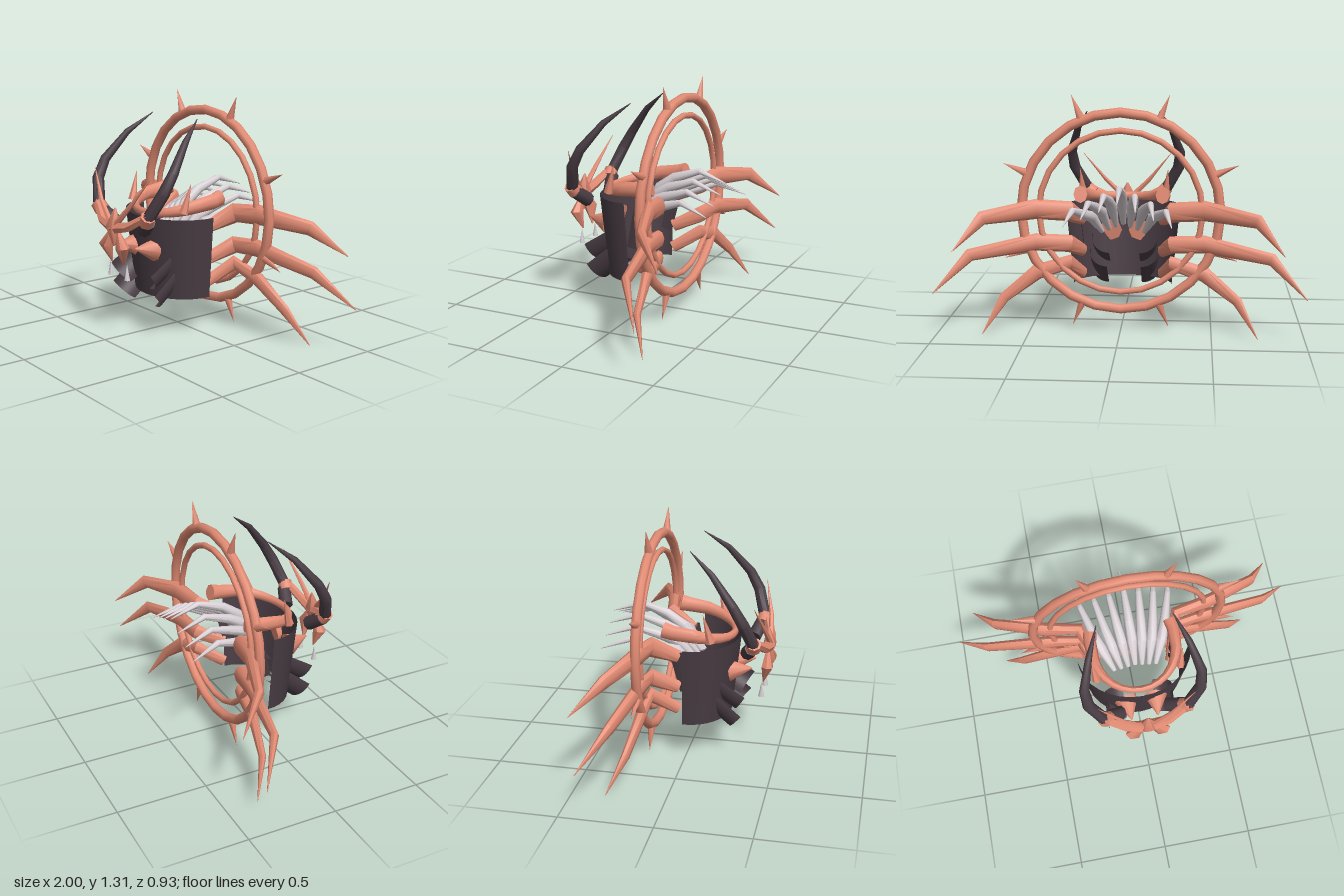
import * as THREE from 'three';
import { toCreasedNormals } from 'three/addons/utils/BufferGeometryUtils.js';

const make = (name, color) => {
  const m = new THREE.MeshStandardMaterial({ color });
  m.name = name;
  return m;
};

// Tapered limb through points [x, y, z, radius]; flat squeezes it sideways
function limb(points, { sides = 8, flat = 1, ref = [0, 1, 0] } = {}) {
  const p = points.map(q => new THREE.Vector3(q[0], q[1], q[2]));
  const up = new THREE.Vector3(...ref), pos = [], idx = [], n = p.length;
  p.forEach((c, i) => {
    const t = new THREE.Vector3();
    if (i > 0) t.add(c.clone().sub(p[i - 1]).normalize());
    if (i < n - 1) t.add(p[i + 1].clone().sub(c).normalize());
    t.normalize();
    const u = up.clone().cross(t).normalize(), v = t.clone().cross(u);
    for (let s = 0; s < sides; s++) {
      const a = s / sides * Math.PI * 2, r = points[i][3];
      const q = c.clone().addScaledVector(u, Math.cos(a) * r * flat).addScaledVector(v, Math.sin(a) * r);
      pos.push(q.x, q.y, q.z);
    }
  });
  for (const c of [p[0], p[n - 1]]) pos.push(c.x, c.y, c.z);
  for (let s = 0; s < sides; s++) {
    const e = (s + 1) % sides, last = (n - 1) * sides;
    for (let i = 0; i < n - 1; i++) {
      const a = i * sides, b = a + sides;
      idx.push(a + s, a + e, b + s, a + e, b + e, b + s);
    }
    idx.push(n * sides, e, s, n * sides + 1, last + s, last + e);
  }
  const g = new THREE.BufferGeometry();
  g.setAttribute('position', new THREE.Float32BufferAttribute(pos, 3));
  g.setIndex(idx);
  return toCreasedNormals(g, 0.82);
}

export function createModel() {
  const coral = make('coral shell', 0xe28b73);
  const dark = make('dark armour', 0x483c43);
  const bone = make('pale bone', 0xd8d0d4);
  dark.side = THREE.DoubleSide;
  const model = new THREE.Group();
  const add = (parent, name, geo, mat) => {
    const m = new THREE.Mesh(geo, mat);
    m.name = name;
    parent.add(m);
    return m;
  };
  // Open curved plate cut from a cylinder
  const shell = (parent, name, rt, rb, h, start, len, at, tilt) => {
    const m = add(parent, name, new THREE.CylinderGeometry(rt, rb, h, 16, 1, true, start, len), dark);
    m.position.set(...at);
    m.rotation.x = tilt;
    return m;
  };

  // Breastplate and collar
  shell(model, 'breastplate', 0.322, 0.277, 0.455, -Math.PI / 2, Math.PI, [0, 0.447, -0.003], 0.025).scale.z = 0.83;
  const collar = [];
  for (let i = 0; i <= 16; i++) {
    const a = -0.28 + i / 16 * (Math.PI + 0.56), z = Math.sin(a);
    const back = THREE.MathUtils.clamp((0.25 - z * 0.24) / 0.36, 0, 1);
    collar.push([Math.cos(a) * 0.235, 0.682 + back * 0.08, z * 0.235 - (z < 0 ? 0.055 : 0), 0.022 + back * 0.03]);
  }
  add(model, 'collar', limb(collar, { flat: 0.8 }), coral);

  // Back rings with spikes
  const rings = new THREE.Group();
  rings.name = 'backRings';
  rings.position.set(0, 0.67, -0.2);
  model.add(rings);
  add(rings, 'outerRing', new THREE.TorusGeometry(0.542, 0.027, 8, 24), coral);
  add(rings, 'innerRing', new THREE.TorusGeometry(0.445, 0.017, 8, 24), coral);
  for (let i = 0; i < 8; i++) {
    const a = (i + 0.5) * Math.PI / 4;
    const spike = add(rings, 'ringSpike', new THREE.ConeGeometry(0.024, 0.14, 6), coral);
    spike.position.set(Math.cos(a) * 0.622, Math.sin(a) * 0.622, 0);
    spike.rotation.z = a - Math.PI / 2;
  }

  // Fanned back ribs
  for (let i = -3; i <= 3; i++) {
    const k = Math.abs(i), x = i * 0.095, drop = k * 0.04;
    add(model, 'backRib', limb([
      [x * 0.42, 0.56 - drop * 0.4, 0.04, 0.014],
      [x * 0.6, 0.7 - drop * 0.7, -0.06, 0.032],
      [x * 0.72, 0.765 - drop, -0.15, 0.028],
      [x * 0.88, 0.815 - drop, -0.3, 0.018],
      [x, 0.76 - drop, -0.46, 0.002]]), bone);
  }

  // Nose of the mask
  add(model, 'nose', limb([[0, 0.73, 0.42, 0.004], [0, 0.63, 0.43, 0.04], [0, 0.52, 0.43, 0.004]],
    { sides: 6, flat: 1.4, ref: [0, 0, 1] }), coral);

  // Paired parts, made once per side
  for (const side of [1, -1]) {
    const half = new THREE.Group();
    half.name = side > 0 ? 'leftSide' : 'rightSide';
    half.scale.x = side;
    model.add(half);

    // Jointed back legs
    const legs = [
      ['upperLeg', [[0.22, 0.6, -0.04, 0.035], [0.28, 0.67, -0.185, 0.055], [0.46, 0.685, -0.21, 0.056], [0.74, 0.65, -0.31, 0.04], [0.87, 0.5, -0.465, 0.002]]],
      ['middleLeg', [[0.22, 0.42, -0.04, 0.035], [0.28, 0.49, -0.185, 0.048], [0.46, 0.5, -0.205, 0.049], [0.82, 0.435, -0.265, 0.036], [1, 0.25, -0.4, 0.002]]],
      ['lowerLeg', [[0.22, 0.29, -0.04, 0.033], [0.28, 0.385, -0.185, 0.042], [0.46, 0.33, -0.2, 0.043], [0.64, 0.19, -0.235, 0.03], [0.75, 0.004, -0.32, 0.002]]]
    ];
    for (const [name, pts] of legs) add(half, name, limb(pts, { flat: 0.65 }), coral);

    // Swept horn with its socket
    add(half, 'hornRoot', limb([[0.13, 0.615, 0.325, 0.04], [0.22, 0.68, 0.36, 0.038]]), dark);
    add(half, 'hornSocket', limb([[0.205, 0.675, 0.365, 0.044], [0.24, 0.715, 0.375, 0.04]]), coral);
    add(half, 'horn', limb([[0.23, 0.7, 0.37, 0.034], [0.305, 0.84, 0.325, 0.033], [0.315, 0.94, 0.27, 0.028],
      [0.265, 1.09, 0.15, 0.018], [0.2, 1.195, 0.02, 0.002]], { ref: [1, 0, 0] }), dark);

    // Mask brow, feeler, cheek and fang
    add(half, 'brow', limb([[0, 0.62, 0.43, 0.035], [0.12, 0.645, 0.42, 0.027], [0.24, 0.72, 0.375, 0.022]], { sides: 6 }), coral);
    add(half, 'feeler', limb([[0.02, 0.64, 0.435, 0.018], [0.13, 0.75, 0.42, 0.013], [0.26, 0.915, 0.375, 0.001]], { sides: 6 }), coral);
    add(half, 'cheek', limb([[0.03, 0.61, 0.425, 0.008], [0.08, 0.52, 0.43, 0.034], [0.055, 0.42, 0.405, 0.003]],
      { sides: 6, flat: 1.4, ref: [0, 0, 1] }), coral);
    add(half, 'fang', new THREE.ConeGeometry(0.017, 0.09, 6), bone).position.set(0.078, 0.385, 0.4);

    // Collar thorn and chest stud
    add(half, 'collarThorn', limb([[0.235, 0.7, 0.14, 0.026], [0.25, 0.86, 0.1, 0.001]], { sides: 6, ref: [0, 0, 1] }), coral);
    add(half, 'chestStud', limb([[0.085, 0.485, 0.22, 0.066], [0.075, 0.505, 0.345, 0.004]]), coral);

    // Curved belly plates and rear flank plate
    shell(half, 'upperBellyPlate', 0.1, 0.1, 0.19, Math.PI / 2 - 0.2, 1.8, [0.09, 0.405, 0.232], -1);
    shell(half, 'lowerBellyPlate', 0.1, 0.1, 0.21, Math.PI / 2 - 0.2, 1.8, [0.1, 0.31, 0.21], -0.88);
    shell(half, 'flankPlate', 0.235, 0.22, 0.235, Math.PI / 2 - 0.05, 0.33, [0, 0.515, 0], -0.22);
  }
  return model;
}
